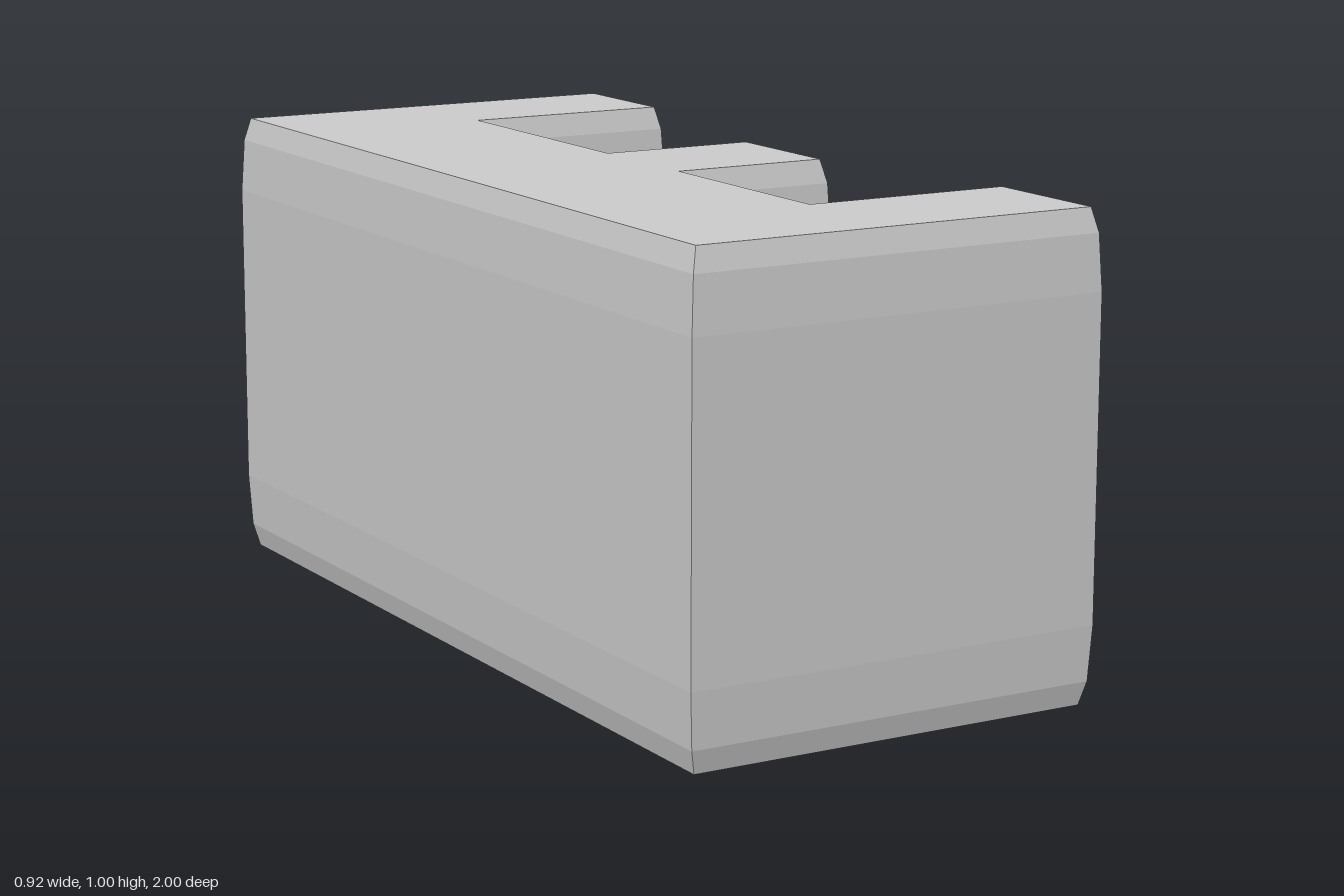
import * as THREE from 'three';

// Plan outline as [x, z], anticlockwise seen from above: a spine with three arms
const outline = [
  [-0.462, 1], [0.456, 1], [0.456, 0.672], [0.003, 0.672],
  [0.003, 0.213], [0.345, 0.213], [0.345, -0.118], [0.003, -0.118],
  [0.003, -0.677], [0.462, -0.677], [0.462, -1], [-0.462, -1],
];

// Height and inset of each cross-section, giving softened top and bottom edges
const levels = [
  [0, 0.018], [0.05, 0.006], [0.165, 0], [0.83, 0], [0.945, 0.006], [0.995, 0.018],
];

// Inset the right-angled outline by t with mitred corners
function section(y, t) {
  const n = outline.length;
  const inward = (a, b) => new THREE.Vector3(b[1] - a[1], 0, a[0] - b[0]).normalize();
  return outline.map((p, i) => {
    const before = inward(outline[(i + n - 1) % n], p);
    const after = inward(p, outline[(i + 1) % n]);
    return new THREE.Vector3(p[0], y, p[1]).addScaledVector(before.add(after), t);
  });
}

function blockGeometry() {
  const rings = levels.map(([y, t]) => section(y, t));
  const n = outline.length;
  const verts = [];
  const tri = (...points) => points.forEach((p) => verts.push(p.x, p.y, p.z));

  // Walls and bevel bands
  for (let k = 0; k < rings.length - 1; k++) {
    for (let i = 0; i < n; i++) {
      const j = (i + 1) % n;
      const a = rings[k][i], b = rings[k][j], c = rings[k + 1][j], d = rings[k + 1][i];
      tri(a, b, c);
      tri(a, c, d);
    }
  }

  // Top and bottom caps
  const bottom = rings[0], top = rings[rings.length - 1];
  const flat = top.map((p) => new THREE.Vector2(p.x, -p.z));
  for (const [a, b, c] of THREE.ShapeUtils.triangulateShape(flat, [])) {
    tri(top[a], top[b], top[c]);
    tri(bottom[c], bottom[b], bottom[a]);
  }

  const geometry = new THREE.BufferGeometry();
  geometry.setAttribute('position', new THREE.Float32BufferAttribute(verts, 3));
  geometry.computeVertexNormals();
  return geometry;
}

export function createModel() {
  const group = new THREE.Group();
  group.name = 'threeArmedBlock';
  const grey = new THREE.MeshStandardMaterial({ color: 0xcccccc, flatShading: true });
  grey.name = 'light grey';
  const block = new THREE.Mesh(blockGeometry(), grey);
  block.name = 'buildingBlock';
  group.add(block);
  return group;
}
